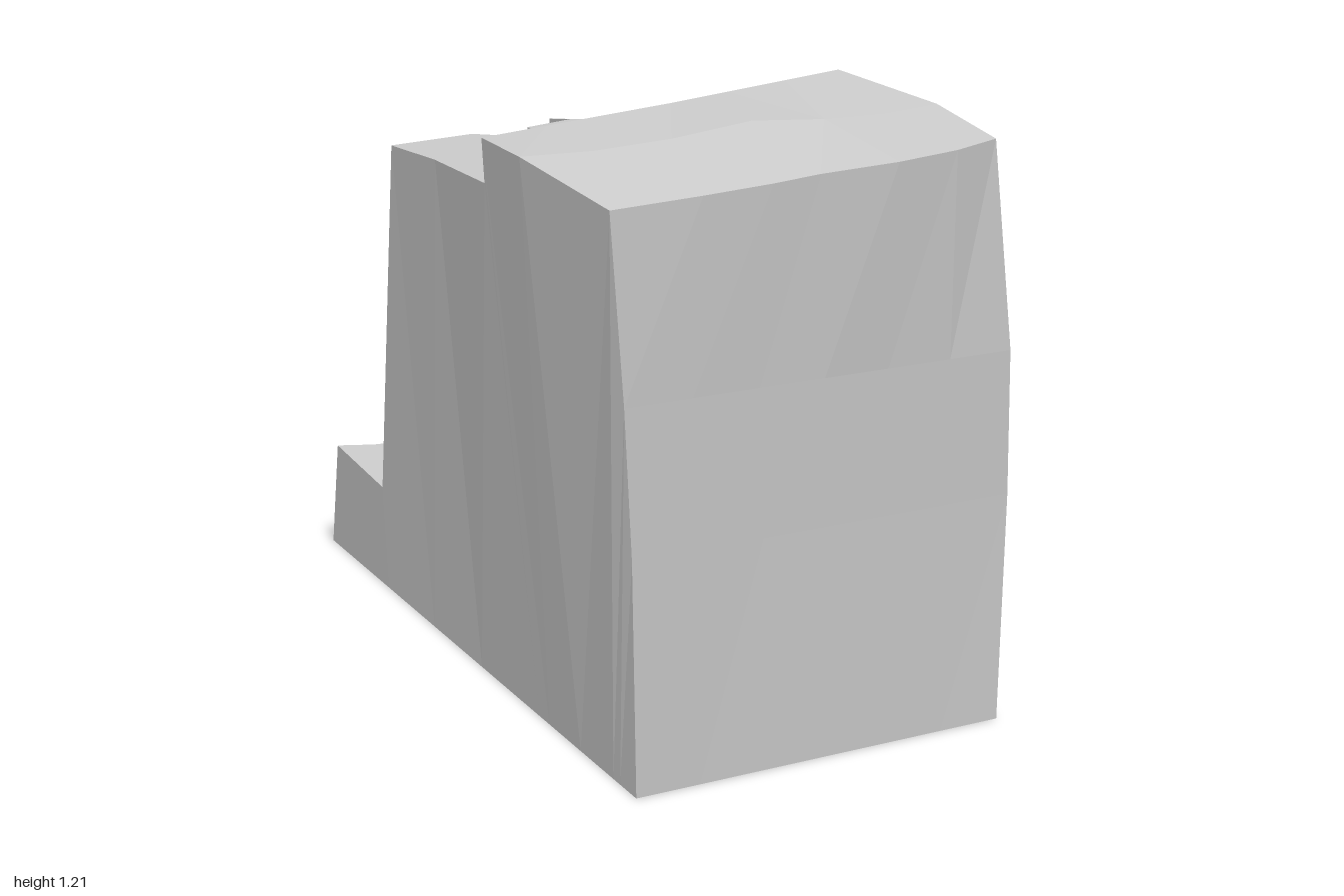
import * as THREE from 'three';

const COLUMNS = 7;
const material = new THREE.MeshStandardMaterial({ color: 0xcccccc, flatShading: true });

// Spread a few key points evenly over the columns of a contour, from -x to +x
function contour(...keys) {
  return Array.from({ length: COLUMNS }, (_, j) => {
    const t = (j / (COLUMNS - 1)) * (keys.length - 1);
    const k = Math.min(Math.floor(t), keys.length - 2);
    return keys[k].map((v, axis) => v + (keys[k + 1][axis] - v) * (t - k));
  });
}

// Facets between neighbouring contours, skipping collapsed ones
function loft(name, rows) {
  const positions = [];
  const face = (...corners) => {
    const [a, b, c] = corners.map((p) => new THREE.Vector3(...p));
    if (b.clone().sub(a).cross(c.clone().sub(a)).length() < 1e-6) return;
    corners.forEach((p) => positions.push(...p));
  };
  for (let i = 0; i < rows.length - 1; i++) {
    for (let j = 0; j < rows[i].length - 1; j++) {
      const a = rows[i][j], b = rows[i][j + 1], c = rows[i + 1][j + 1], d = rows[i + 1][j];
      face(a, b, c);
      face(a, c, d);
    }
  }
  const geometry = new THREE.BufferGeometry();
  geometry.setAttribute('position', new THREE.Float32BufferAttribute(positions, 3));
  geometry.computeVertexNormals();
  const mesh = new THREE.Mesh(geometry, material);
  mesh.name = name;
  return mesh;
}

// Ground outline: x for a given z along a path of [z, x] points running front to back
function groundX(path, z) {
  for (let i = 0; i < path.length - 1; i++) {
    const [z0, x0] = path[i], [z1, x1] = path[i + 1];
    if (z >= z1) return x0 + ((x1 - x0) * (z - z0)) / (z1 - z0);
  }
  return path[path.length - 1][1];
}

export function createModel() {
  const group = new THREE.Group();
  group.name = 'cliffRock';

  // Overhanging front wall
  const front = [
    contour([-0.44, 0, 0.85], [0.365, 0, 0.84]),
    contour([-0.48, 0.47, 0.905], [0.34, 0.47, 0.885]),
    contour([-0.515, 0.76, 0.94], [0.31, 0.76, 0.92]),
    contour([-0.565, 1.115, 0.98], [-0.3, 1.13, 0.99], [-0.15, 1.14, 0.98],
      [0.08, 1.155, 1.0], [0.24, 1.165, 0.95]),
  ];

  // Upper terrace, ending in a low step
  const upper = [
    front[3],
    contour([-0.58, 1.16, 0.68], [-0.38, 1.165, 0.72], [-0.12, 1.19, 0.7], [0.1, 1.18, 0.72], [0.285, 1.19, 0.7]),
    contour([-0.55, 1.16, 0.47], [-0.13, 1.185, 0.425], [0.29, 1.21, 0.355]),
  ];
  const step = [upper[2], contour([-0.53, 1.07, 0.44], [-0.1, 1.07, 0.385], [0.335, 1.03, 0.31])];

  // Lower terrace, with a stepped rear edge
  const lower = [
    step[1],
    contour([-0.47, 1.055, 0.1], [0, 1.06, 0.02], [0.34, 1.015, 0]),
    [[-0.44, 1.04, -0.17], [-0.25, 1.045, -0.19], [-0.1, 1.025, -0.2], [-0.07, 1.03, -0.29],
      [0.06, 1.03, -0.34], [0.05, 1.02, -0.42], [0.35, 0.99, -0.46]],
  ];

  // Rear slope in three offset panels, down to a ledge
  const slope = [
    lower[2],
    [[-0.36, 0.24, -0.43], [-0.2, 0.25, -0.45], [0, 0.27, -0.46], [0.09, 0.24, -0.64],
      [0.17, 0.24, -0.67], [0.19, 0.25, -0.73], [0.51, 0.27, -0.75]],
  ];
  const ledge = [
    slope[1],
    [[-0.34, 0.26, -0.72], [-0.25, 0.25, -0.72], [-0.15, 0.25, -0.71], [-0.06, 0.25, -0.77],
      [-0.08, 0.25, -0.84], [0.2, 0.26, -0.87], [0.5, 0.28, -0.88]],
    [[-0.31, 0, -0.83], [-0.22, 0, -0.84], [-0.15, 0, -0.85], [-0.07, 0, -0.86],
      [-0.02, 0, -0.94], [0.25, 0, -0.96], [0.55, 0, -1]],
  ];

  const parts = { frontWall: front, upperTerrace: upper, terraceStep: step, lowerTerrace: lower, rearSlope: slope, rearLedge: ledge };
  for (const [name, rows] of Object.entries(parts)) group.add(loft(name, rows));

  // Side walls, from the ends of all contours down to the ground outline
  const rows = [...new Set(Object.values(parts).flat())];
  const rightEdge = rows.map((row) => row[0]);
  const leftEdge = rows.map((row) => row[COLUMNS - 1]);
  const rightPath = [[0.85, -0.44], [-0.83, -0.31]];
  const leftPath = [[0.84, 0.365], [-0.07, 0.58], [-0.3, 0.56], [-1, 0.55]];
  const rightGround = [0.85, 0.8, 0.78, 0.75, 0.6, 0.45, 0.4, 0.1, -0.17, -0.45, -0.72, -0.83]
    .map((z) => [groundX(rightPath, z), 0, z]);
  const leftGround = [0.84, 0.78, 0.76, 0.74, 0.6, 0.36, 0.31, -0.07, -0.3, -0.65, -0.85, -1]
    .map((z) => [groundX(leftPath, z), 0, z]);
  group.add(loft('rightSide', [rightEdge, rightGround]));
  group.add(loft('leftSide', [leftGround, leftEdge]));

  // Flat underside
  const outline = [...leftGround, ...ledge[2].slice(1, -1).reverse(), ...rightGround.slice().reverse()];
  const shape = new THREE.Shape(outline.map(([x, , z]) => new THREE.Vector2(x, z)));
  const underside = new THREE.Mesh(new THREE.ShapeGeometry(shape).rotateX(Math.PI / 2), material);
  underside.name = 'underside';
  group.add(underside);

  return group;
}
